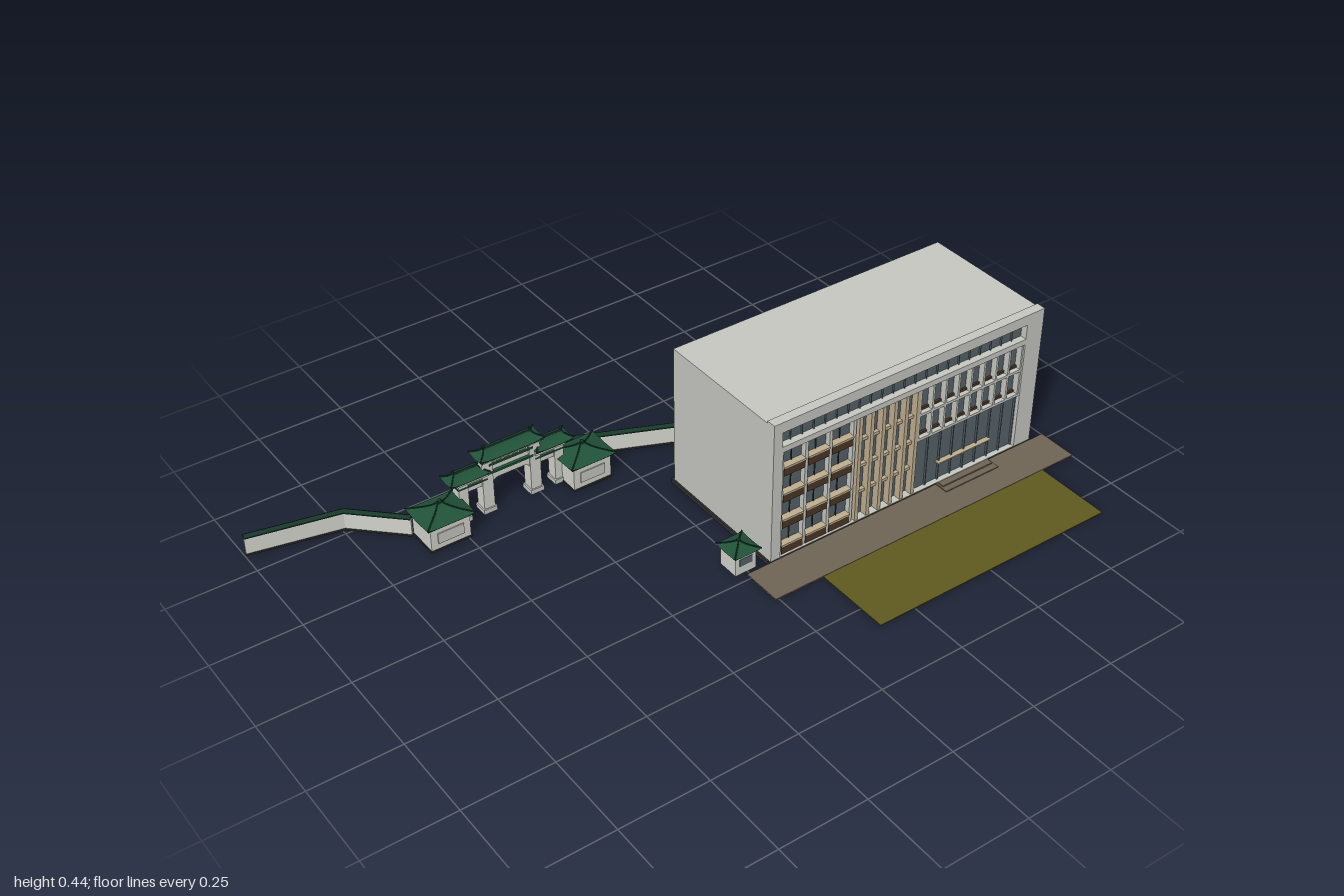
import * as THREE from 'three';
import { toCreasedNormals } from 'three/addons/utils/BufferGeometryUtils.js';

const paint = (name, color) => {
  const m = new THREE.MeshStandardMaterial({ color });
  m.name = name;
  return m;
};

export function createModel() {
  const wall = paint('pale concrete', 0xc6c7c1);
  const white = paint('gate plaster', 0xd3d3cc);
  const glass = paint('blue grey glass', 0x566369);
  const brown = paint('brown spandrel', 0x4a3626);
  const beige = paint('beige fin', 0xbfae90);
  const green = paint('green roof tile', 0x215239);
  const darkGreen = paint('dark green ridge', 0x17382a);
  const dark = paint('dark plinth', 0x303030);
  const paving = paint('brown paving', 0x6e6556);
  const grass = paint('olive lawn', 0x5f5a20);

  const model = new THREE.Group();
  const group = (name, x = 0, y = 0, z = 0, parent = model) => {
    const g = new THREE.Group();
    g.name = name;
    g.position.set(x, y, z);
    parent.add(g);
    return g;
  };
  const add = (parent, name, geo, mat) => {
    const m = new THREE.Mesh(geo, mat);
    m.name = name;
    parent.add(m);
    return m;
  };
  // Box given by its limits on each axis
  const box = (parent, name, mat, x0, x1, y0, y1, z0, z1) => {
    const m = add(parent, name, new THREE.BoxGeometry(x1 - x0, y1 - y0, z1 - z0), mat);
    m.position.set((x0 + x1) / 2, (y0 + y1) / 2, (z0 + z1) / 2);
    return m;
  };
  // Concave hipped roof with lifted corners, ridge along x
  const hipRoof = (parent, name, w, d, h, ridge, x, y, z, lift = 0.006) => {
    const geo = new THREE.BoxGeometry(2, 1, 2, 8, 5, 8);
    const p = geo.attributes.position;
    for (let i = 0; i < p.count; i++) {
      const u = p.getX(i), v = p.getZ(i), t = p.getY(i) + 0.5;
      const s = (1 - t) ** 1.5;
      const up = lift * (Math.abs(u) ** 6) * (Math.abs(v) ** 2) * (1 - t) ** 3;
      p.setXYZ(i, u * (ridge / 2 + (w - ridge) / 2 * s), t * h + up, v * (0.003 + (d / 2 - 0.003) * s));
    }
    const g = group(name, x, y, z, parent);
    add(g, 'tiles', toCreasedNormals(geo, 0.5), green);
    box(g, 'eaves', darkGreen, -w / 2 + 0.004, w / 2 - 0.004, -0.004, 0.001, -d / 2 + 0.004, d / 2 - 0.004);
    const r = Math.max(ridge, 0.008);
    box(g, 'ridge', darkGreen, -r / 2, r / 2, h - 0.002, h + 0.004, -0.004, 0.004);
    for (const sx of [-1, 1]) {
      if (ridge > 0.02) box(g, 'ridgeEnd', darkGreen, sx * r / 2 - 0.003, sx * r / 2 + 0.003, h, h + 0.009, -0.003, 0.003);
      for (const sz of [-1, 1]) {
        // Hip ribs follow the roof curve
        const pts = [0, 0.2, 0.45, 0.7, 1].map(t => {
          const s = (1 - t) ** 1.5;
          return new THREE.Vector3(sx * (ridge / 2 + (w - ridge) / 2 * s), t * h + lift * (1 - t) ** 3, sz * (0.003 + (d / 2 - 0.003) * s));
        });
        add(g, 'hipRib', new THREE.TubeGeometry(new THREE.CatmullRomCurve3(pts), 8, 0.0022, 5), darkGreen);
      }
    }
    return g;
  };

  // Grounds
  const ground = group('grounds');
  box(ground, 'pavement', paving, -0.01, 1, 0, 0.004, 0.235, 0.353);
  box(ground, 'lawn', grass, 0.14, 0.89, 0, 0.003, 0.353, 0.577);
  box(ground, 'lowerStep', paving, 0.615, 0.80, 0, 0.007, 0.235, 0.277);
  box(ground, 'upperStep', paving, 0.62, 0.795, 0.007, 0.011, 0.235, 0.258);

  // Office block shell
  const office = group('officeBlock');
  box(office, 'plinth', dark, 0.055, 0.95, 0, 0.012, -0.187, 0.235);
  box(office, 'body', wall, 0.06, 0.945, 0.012, 0.43, -0.172, 0.212);
  const frame = new THREE.Shape([[0.06, 0.012], [0.945, 0.012], [0.945, 0.437], [0.06, 0.437]].map(a => new THREE.Vector2(...a)));
  for (const [x0, x1, y0, y1] of [[0.09, 0.888, 0.014, 0.345], [0.087, 0.888, 0.362, 0.406]])
    frame.holes.push(new THREE.Path([[x0, y0], [x0, y1], [x1, y1], [x1, y0]].map(a => new THREE.Vector2(...a))));
  add(office, 'frontFrame', new THREE.ExtrudeGeometry(frame, { depth: 0.028, bevelEnabled: false }), wall).position.z = 0.212;

  // Recessed glazing behind the frame
  box(office, 'topGlazing', glass, 0.087, 0.888, 0.362, 0.406, 0.212, 0.22);
  for (let i = 1; i < 22; i++) {
    const x = 0.087 + i * 0.801 / 22;
    box(office, 'topMullion', glass, x - 0.001, x + 0.001, 0.362, 0.406, 0.22, 0.225);
  }
  box(office, 'mainGlazing', glass, 0.09, 0.888, 0.014, 0.345, 0.212, 0.216);

  // Left bays with balcony spandrels
  const left = group('leftBays', 0, 0, 0, office);
  for (let i = 0; i < 4; i++) {
    const x = 0.09 + i * 0.0763;
    box(left, 'pier', wall, x, x + 0.009, 0.014, 0.345, 0.214, 0.232);
    if (i === 3) continue;
    for (let k = 0; k < 4; k++) {
      const y = 0.014 + k * 0.083;
      box(left, 'spandrel', brown, x + 0.009, x + 0.0763, y, y + 0.024, 0.214, 0.234);
      box(left, 'rail', beige, x + 0.009, x + 0.0763, y + 0.024, y + 0.029, 0.214, 0.236);
      box(left, 'windowBar', dark, x + 0.042, x + 0.044, y + 0.029, y + 0.083, 0.214, 0.219);
    }
  }

  // Central beige fins
  const centre = group('centreFins', 0, 0, 0, office);
  for (let i = 0; i < 6; i++) {
    const x = 0.334 + i * 0.038;
    box(centre, 'fin', beige, x, x + 0.011, 0.014, 0.345, 0.214, 0.237);
  }
  for (const y of [0.09, 0.173, 0.256])
    box(centre, 'floorBand', beige, 0.334, 0.535, y, y + 0.009, 0.214, 0.227);

  // Right bays above the entrance glazing
  const right = group('rightBays', 0, 0, 0, office);
  for (let i = 0; i < 9; i++) {
    const x = 0.535 + i * 0.0435;
    box(right, 'fin', wall, x, x + 0.006, 0.178, 0.345, 0.214, 0.235);
  }
  for (const y of [0.178, 0.257]) {
    box(right, 'floorBand', wall, 0.535, 0.888, y, y + 0.008, 0.214, 0.235);
    box(right, 'spandrel', brown, 0.535, 0.888, y + 0.008, y + 0.015, 0.214, 0.222);
  }
  box(right, 'entranceGlazing', glass, 0.535, 0.888, 0.014, 0.177, 0.214, 0.224);
  for (let i = 0; i <= 8; i++) {
    const x = 0.537 + i * 0.0435;
    box(right, 'mullion', glass, x - 0.0015, x + 0.0015, 0.014, 0.177, 0.224, 0.23);
  }
  box(right, 'canopy', beige, 0.615, 0.80, 0.072, 0.076, 0.222, 0.239);

  // Rear and end details
  const rear = group('rearWall', 0, 0, 0, office);
  for (const x of [0.06, 0.921]) box(rear, 'cornerPier', wall, x, x + 0.024, 0.012, 0.43, -0.18, -0.17);
  box(rear, 'cornice', wall, 0.06, 0.945, 0.415, 0.43, -0.18, -0.17);
  for (let c = -3; c <= 3; c++) for (let r = 0; r < 5; r++) {
    const x = 0.5025 + c * 0.117, y = 0.048 + r * 0.08;
    box(rear, 'windowFrame', dark, x - 0.028, x + 0.028, y - 0.023, y + 0.023, -0.174, -0.171);
    for (const s of [-1, 1]) {
      const m = x + s * 0.0135;
      box(rear, 'windowPane', glass, m - 0.012, m + 0.012, y - 0.021, y + 0.021, -0.1755, -0.173);
    }
    box(rear, 'sill', wall, x - 0.03, x + 0.03, y - 0.027, y - 0.023, -0.178, -0.171);
  }

  // Guard booth beside the block
  const booth = group('guardBooth', -0.005, 0, 0.19);
  box(booth, 'walls', white, -0.032, 0.032, 0, 0.06, -0.032, 0.032);
  box(booth, 'window', glass, -0.02, 0.02, 0.026, 0.048, 0.032, 0.0335);
  hipRoof(booth, 'roof', 0.084, 0.084, 0.02, 0.004, 0, 0.062, 0, 0.003);

  // Boundary walls with tiled coping
  const walls = group('boundaryWall');
  const run = (x0, z0, x1, z1) => {
    const len = Math.hypot(x1 - x0, z1 - z0);
    const g = group('wallRun', (x0 + x1) / 2, 0, (z0 + z1) / 2, walls);
    g.rotation.y = -Math.atan2(z1 - z0, x1 - x0);
    const h = len / 2;
    box(g, 'panel', white, -h, h, 0, 0.058, -0.005, 0.005);
    box(g, 'footing', dark, -h, h, 0, 0.005, -0.007, 0.007);
    const cap = new THREE.Shape([[-0.01, 0.056], [0.01, 0.056], [0.01, 0.059], [0, 0.066], [-0.01, 0.059]].map(a => new THREE.Vector2(...a)));
    const m = add(g, 'coping', new THREE.ExtrudeGeometry(cap, { depth: len, bevelEnabled: false }), darkGreen);
    m.rotation.y = Math.PI / 2;
    m.position.x = -h;
  };
  run(-0.995, -0.575, -0.74, -0.52);
  run(-0.74, -0.52, -0.612, -0.395);
  run(-0.145, -0.40, -0.09, -0.437);
  run(-0.09, -0.437, 0.325, -0.257);

  // Corner pavilions flanking the gate
  for (const x of [-0.55, -0.118]) {
    const p = group('pavilion', x, 0, -0.35);
    box(p, 'walls', white, -0.058, 0.058, 0, 0.075, -0.047, 0.047);
    box(p, 'footing', dark, -0.06, 0.06, 0, 0.005, -0.049, 0.049);
    for (const s of [-1, 1]) box(p, 'panel', wall, -0.038, 0.038, 0.022, 0.054, s * 0.048 - 0.002, s * 0.048 + 0.002);
    hipRoof(p, 'roof', 0.142, 0.118, 0.03, 0.014, 0, 0.078, 0, 0.004);
    const f = add(p, 'finial', new THREE.SphereGeometry(0.005, 8, 6), darkGreen);
    f.position.y = 0.114;
  }

  // Ceremonial gate
  const gate = group('gate', -0.328, 0, -0.378);
  for (const s of [-1, 1]) {
    for (const [x, w, h] of [[0.072, 0.016, 0.165], [0.145, 0.014, 0.122]]) {
      box(gate, 'column', white, s * x - w, s * x + w, 0, h, -0.017, 0.017);
      box(gate, 'columnBase', wall, s * x - w - 0.004, s * x + w + 0.004, 0, 0.014, -0.021, 0.021);
    }
    const a = s * 0.117;
    box(gate, 'sideLintel', white, a - 0.042, a + 0.042, 0.088, 0.122, -0.012, 0.012);
    box(gate, 'sideBeam', green, a - 0.044, a + 0.044, 0.106, 0.11, -0.0185, 0.0185);
    box(gate, 'sideCornice', white, a - 0.046, a + 0.046, 0.12, 0.13, -0.021, 0.021);
    hipRoof(gate, 'sideRoof', 0.118, 0.06, 0.022, 0.07, s * 0.128, 0.133, 0);
  }
  // Central opening with curved haunches
  const arch = new THREE.Shape();
  arch.moveTo(-0.058, 0.08).lineTo(-0.058, 0.122).lineTo(0.058, 0.122).lineTo(0.058, 0.08);
  arch.quadraticCurveTo(0.055, 0.1, 0.038, 0.1).lineTo(-0.038, 0.1).quadraticCurveTo(-0.055, 0.1, -0.058, 0.08);
  add(gate, 'archLintel', new THREE.ExtrudeGeometry(arch, { depth: 0.028, bevelEnabled: false }), white).position.z = -0.014;
  box(gate, 'namePanel', white, -0.058, 0.058, 0.122, 0.146, -0.01, 0.01);
  for (const y of [0.12, 0.146]) box(gate, 'beam', green, -0.066, 0.066, y, y + 0.006, -0.019, 0.019);
  box(gate, 'frieze', white, -0.075, 0.075, 0.152, 0.166, -0.013, 0.013);
  box(gate, 'cornice', white, -0.088, 0.088, 0.162, 0.171, -0.022, 0.022);
  for (let i = -2; i <= 2; i++) box(gate, 'bracket', beige, i * 0.024 - 0.003, i * 0.024 + 0.003, 0.152, 0.162, -0.017, 0.017);
  hipRoof(gate, 'mainRoof', 0.196, 0.062, 0.022, 0.14, 0, 0.173, 0);

  return model;
}
